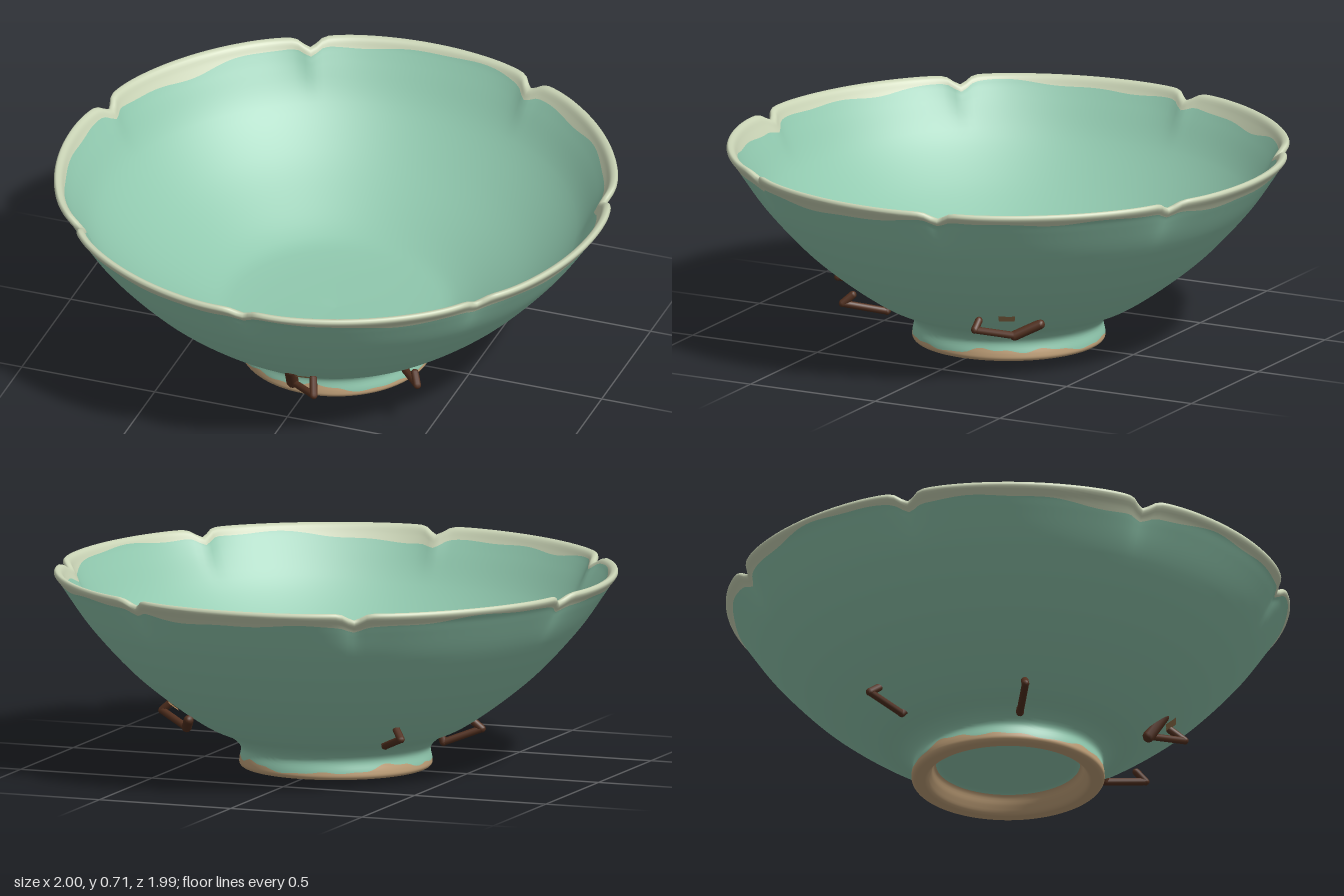
import * as THREE from 'three';

const mat = (name, color, side = THREE.FrontSide) => {
  const m = new THREE.MeshStandardMaterial({ color, side });
  m.name = name;
  return m;
};
const glaze = mat('celadonGlaze', 0x90c8ae);
const rimGlaze = mat('paleRimGlaze', 0xc9d3b5);
const clay = mat('bareClay', 0xc2a27a);
const iron = mat('rustyIron', 0x52301f);
const stain = mat('rustStain', 0x9a7850);

// Profile from the centre of the underside, over the rim, to the centre of the floor
const PROFILE = [
  [0, 0.075], [0.2, 0.075], [0.255, 0.065], [0.272, 0.03], [0.29, 0.002], [0.31, 0],
  [0.332, 0.002], [0.341, 0.012], [0.341, 0.03], [0.336, 0.07], [0.37, 0.108], [0.45, 0.145],
  [0.53, 0.195], [0.65, 0.285], [0.74, 0.365], [0.875, 0.515], [0.95, 0.622], [0.975, 0.66],
  [0.998, 0.693], [0.992, 0.705], [0.974, 0.7], [0.956, 0.67], [0.925, 0.62], [0.85, 0.51],
  [0.72, 0.385], [0.58, 0.285], [0.44, 0.205], [0.37, 0.185], [0, 0.17],
];
// Colour bands, by profile point where each one ends
const BANDS = [[2, 0], [8, 2], [17, 0], [21, 1], [28, 0]];
const LOBES = 7;

// Rim notches with soft creases running down the wall
function notch(r, y, phi) {
  const step = (Math.PI * 2) / LOBES;
  const d = phi - Math.round(phi / step) * step;
  const t = THREE.MathUtils.smoothstep(y, 0.48, 0.7);
  const sharp = Math.exp(-((d / 0.035) ** 2));
  const wide = Math.exp(-((d / 0.1) ** 2));
  return [r * (1 - t * t * (0.024 * sharp + 0.012 * wide)), y - 0.028 * sharp * t ** 3];
}

function bowlGeometry() {
  const S = 5, N = 280, last = PROFILE.length - 1, rows = last * S;
  const curve = new THREE.CatmullRomCurve3(PROFILE.map(([r, y]) => new THREE.Vector3(r, y, 0)));
  const near = (k, c) => Math.max(0, 1 - Math.abs(k - c) / 2);
  const pos = [], idx = [];
  for (let i = 0; i <= rows; i++) {
    for (let j = 0; j < N; j++) {
      const phi = (j / N) * Math.PI * 2, k = i / S;
      // the glaze edges wander a little
      const wave = 0.35 * Math.sin(3 * phi + 1.5) + 0.2 * Math.sin(8 * phi) + 0.1 * Math.sin(19 * phi);
      const u = k + wave * (near(k, 17) + near(k, 21) + near(k, 8));
      const p = curve.getPoint(THREE.MathUtils.clamp(u / last, 0, 1));
      const [r, y] = notch(Math.max(0, p.x), Math.max(0, p.y), phi);
      pos.push(r * Math.sin(phi), y, r * Math.cos(phi));
    }
  }
  for (let i = 0; i < rows; i++) {
    for (let j = 0; j < N; j++) {
      const a = i * N + j, b = i * N + ((j + 1) % N);
      idx.push(a, b, a + N, b, b + N, a + N);
    }
  }
  const g = new THREE.BufferGeometry();
  g.setAttribute('position', new THREE.Float32BufferAttribute(pos, 3));
  g.setIndex(idx);
  g.computeVertexNormals();
  let from = 0;
  for (const [end, m] of BANDS) {
    g.addGroup(from * S * N * 6, (end - from) * S * N * 6, m);
    from = end;
  }
  return g;
}

// Round bar between two points
function bar(a, b, radius, name) {
  const A = new THREE.Vector3(...a), B = new THREE.Vector3(...b);
  const dir = B.clone().sub(A);
  const m = new THREE.Mesh(new THREE.CapsuleGeometry(radius, dir.length(), 3, 10), iron);
  m.position.copy(A).add(B).multiplyScalar(0.5);
  m.quaternion.setFromUnitVectors(new THREE.Vector3(0, 1, 0), dir.normalize());
  m.name = name;
  return m;
}

// Repair staple: a bar below the wall with two legs reaching into it
function staple({ a, b, legA, legB, thick = 0.014 }) {
  const g = new THREE.Group();
  g.name = 'repairStaple';
  g.add(bar(a, b, 0.013, 'stapleBar'));
  g.add(bar(a, legA, thick, 'stapleLeg'), bar(b, legB, 0.014, 'stapleLeg'));
  return g;
}

const STAPLES = [
  { a: [0.02, 0.148, 0.5], b: [0.14, 0.178, 0.61], legA: [0.03, 0.225, 0.55], legB: [0.12, 0.215, 0.56], thick: 0.022 },
  { a: [0.37, 0.147, 0.29], b: [0.46, 0.18, 0.42], legA: [0.36, 0.17, 0.29], legB: [0.44, 0.21, 0.39] },
  { a: [0.46, 0.148, -0.27], b: [0.59, 0.188, -0.18], legA: [0.42, 0.19, -0.35], legB: [0.56, 0.215, -0.18], thick: 0.018 },
  { a: [-0.32, 0.14, -0.33], b: [-0.42, 0.185, -0.43], legA: [-0.31, 0.165, -0.31], legB: [-0.39, 0.215, -0.4] },
  { a: [-0.37, 0.09, 0.1], b: [-0.5, 0.14, 0.14], legA: [-0.36, 0.115, 0.1], legB: [-0.46, 0.175, 0.13] },
];

// Thin rust stain lying on the outer wall
function rustStain(phi) {
  const pts = [[0.555, 0.21], [0.573, 0.223], [0.59, 0.236]].map(([r, y]) => new THREE.Vector2(r + 0.004, y - 0.003));
  const m = new THREE.Mesh(new THREE.LatheGeometry(pts, 8, phi - 0.05, 0.1), stain);
  m.name = 'rustStain';
  return m;
}

export function createModel() {
  const model = new THREE.Group();
  model.name = 'mendedBowl';
  const bowl = new THREE.Mesh(bowlGeometry(), [glaze, rimGlaze, clay]);
  bowl.name = 'bowl';
  model.add(bowl);
  STAPLES.forEach((s) => model.add(staple(s)));
  stain.side = THREE.DoubleSide;
  model.add(rustStain(0.15), rustStain(2.05));
  return model;
}
